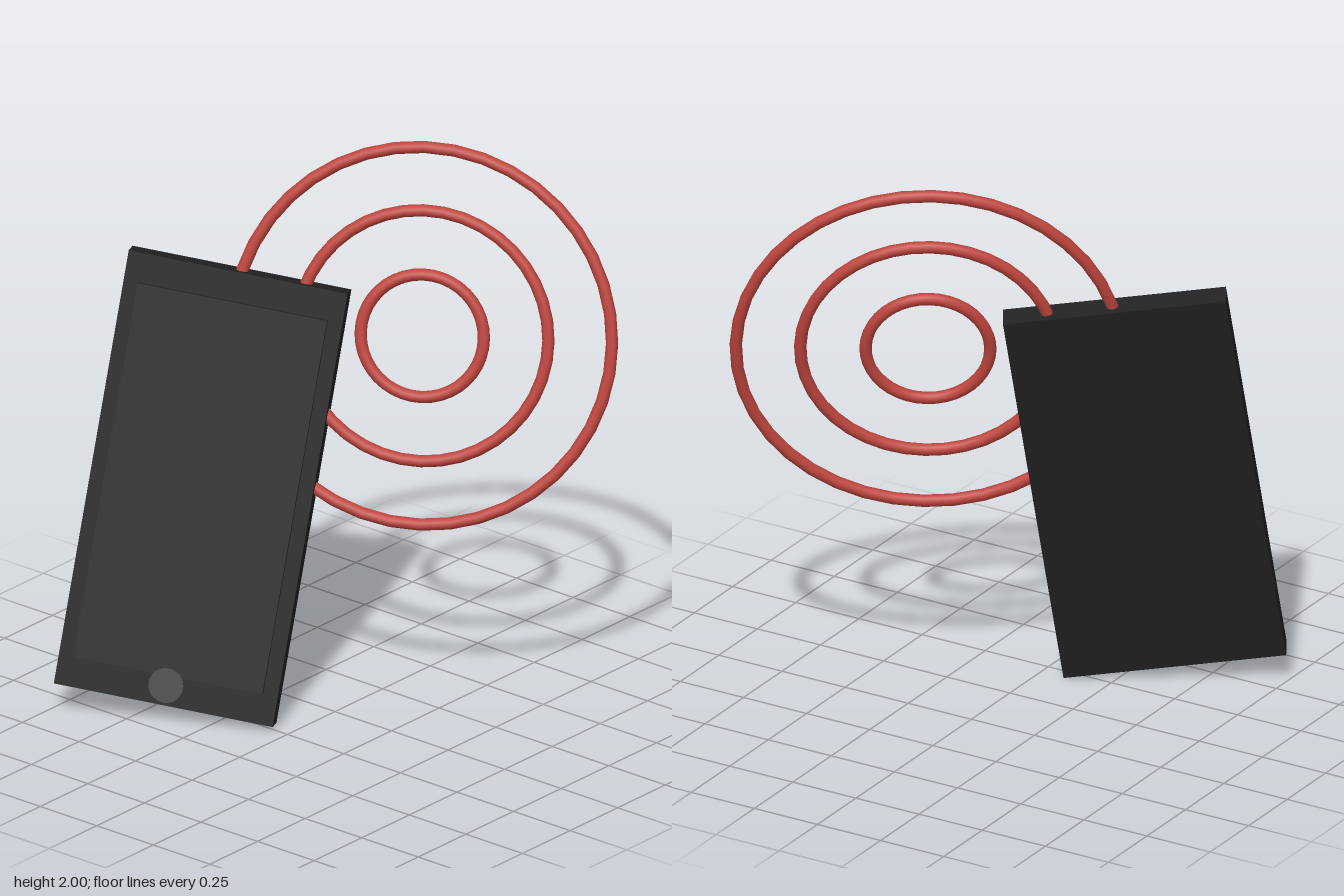
import * as THREE from 'three';

const material = (color) => new THREE.MeshStandardMaterial({ color });

export function createModel() {
  const model = new THREE.Group();
  model.name = 'phoneWithSignalRings';

  // Everything is built upright around the phone's centre, then tilted back and turned
  const phone = new THREE.Group();
  phone.name = 'phone';
  phone.position.set(-0.4, 0.793, 0.22);
  phone.rotation.set(THREE.MathUtils.degToRad(-15), THREE.MathUtils.degToRad(30), 0);
  model.add(phone);

  const add = (name, geometry, mat, x = 0, y = 0, z = 0) => {
    const mesh = new THREE.Mesh(geometry, mat);
    mesh.name = name;
    mesh.position.set(x, y, z);
    phone.add(mesh);
    return mesh;
  };

  const depth = 0.084;
  const raise = 0.018; // how far the screen and button stand proud

  // Body
  add('body', new THREE.BoxGeometry(0.76, 1.52, depth), material(0x222222));

  // Raised screen panel
  add('screen', new THREE.BoxGeometry(0.658, 1.312, 0.04), material(0x2a2a2a),
    0, 0.002, depth / 2 + raise - 0.02);

  // Round home button
  const button = new THREE.CylinderGeometry(0.06, 0.06, 0.04, 32).rotateX(Math.PI / 2);
  add('homeButton', button, material(0x484848), 0, -0.687, depth / 2 + raise + 0.002 - 0.02);

  // Concentric signal rings, centred off the top corner and passing through the body
  const red = material(0xbf453e);
  [['innerRing', 0.211], ['middleRing', 0.432], ['outerRing', 0.65]].forEach(([name, radius]) => {
    add(name, new THREE.TorusGeometry(radius, 0.021, 10, 40), red, 0.65, 0.66, 0);
  });

  return model;
}
